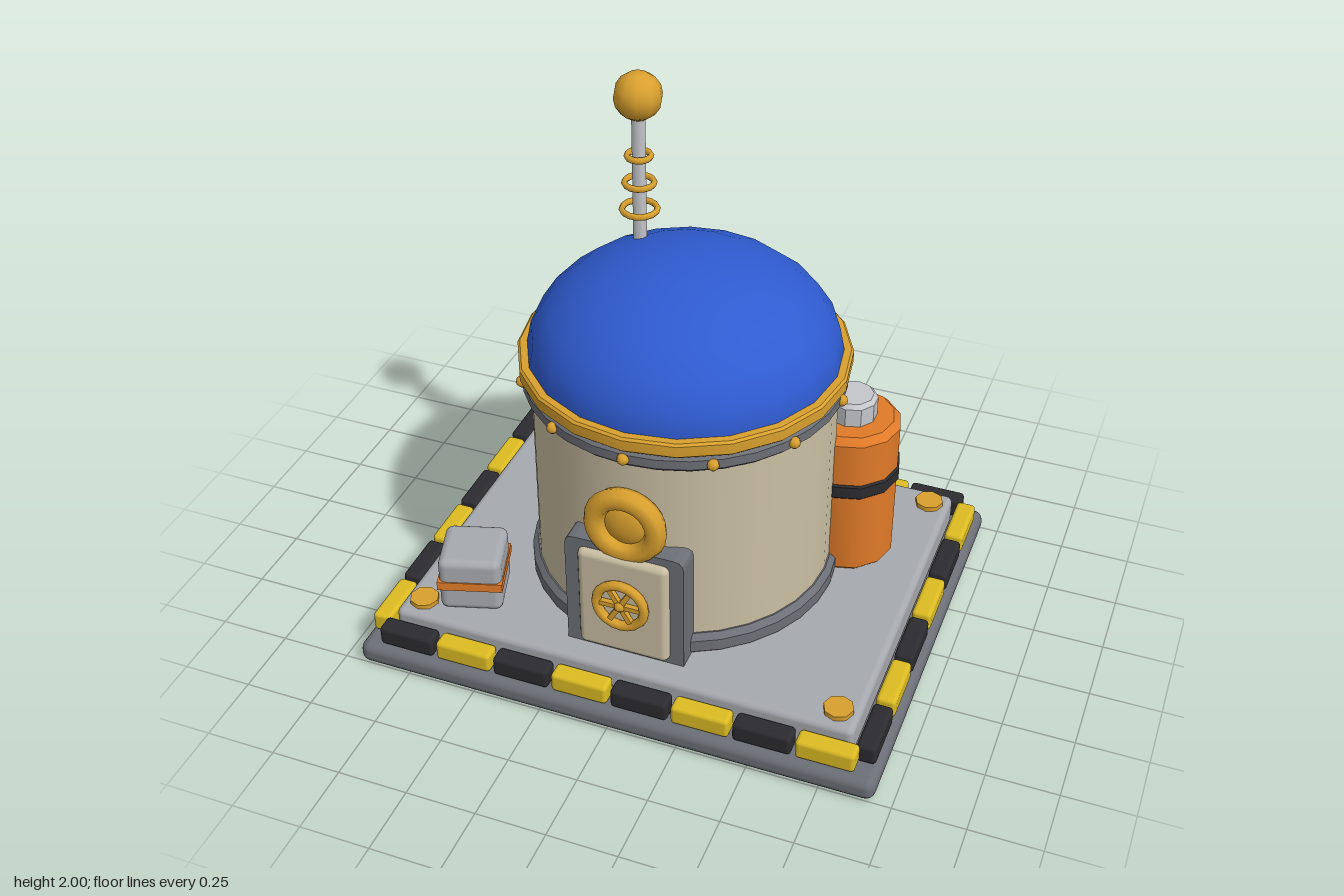
import * as THREE from 'three';
import { RoundedBoxGeometry } from 'three/addons/geometries/RoundedBoxGeometry.js';
import { toCreasedNormals } from 'three/addons/utils/BufferGeometryUtils.js';

const mat = (color) => new THREE.MeshStandardMaterial({ color });
const M = {
  steel: mat(0x6c6f76), plate: mat(0xa6a9ae), silver: mat(0xc4c6ca), cream: mat(0xcabfa3),
  gold: mat(0xd9a02e), blue: mat(0x2f5bd0), orange: mat(0xe07a28), yellow: mat(0xdcbc22), black: mat(0x2c2c30),
};

export function createModel() {
  const model = new THREE.Group();

  const add = (name, geometry, material, x = 0, y = 0, z = 0, parent = model) => {
    const mesh = new THREE.Mesh(geometry, material);
    mesh.name = name;
    mesh.position.set(x, y, z);
    parent.add(mesh);
    return mesh;
  };
  const group = (name, x, y, z) => {
    const g = new THREE.Group();
    g.name = name;
    g.position.set(x, y, z);
    model.add(g);
    return g;
  };
  const box = (w, h, d, r) => new RoundedBoxGeometry(w, h, d, 2, r);
  // Drum with softened rims, standing from y0 to y1
  const drum = (r, y0, y1, bevel, sides) => {
    const pts = [[0, y0], [r - bevel, y0], [r, y0 + bevel], [r, y1 - bevel], [r - bevel, y1], [0, y1]];
    const g = new THREE.LatheGeometry(pts.map(([a, b]) => new THREE.Vector2(a, b)), sides);
    return toCreasedNormals(g, 0.6);
  };

  // Platform
  add('basePlate', box(1.88, 0.085, 1.52, 0.035), M.steel, 0, 0.0425, 0);
  add('deck', box(1.67, 0.125, 1.32, 0.025), M.plate, 0, 0.135, 0);
  for (const x of [-0.76, 0.76]) for (const z of [-0.58, 0.58]) {
    add('cornerBolt', new THREE.CylinderGeometry(0.052, 0.052, 0.04, 8), M.gold, x, 0.195, z);
  }

  // Striped hazard border, colours alternating around the deck
  const border = group('hazardBorder', 0, 0.127, 0);
  const stripe = [M.black, M.yellow];
  for (let i = 0; i < 8; i++) {
    const x = (i - 3.5) * 0.2175;
    add('hazardBlock', box(0.205, 0.075, 0.07, 0.015), stripe[i % 2], x, 0, 0.7, border);
    add('hazardBlock', box(0.205, 0.075, 0.07, 0.015), stripe[(i + 1) % 2], x, 0, -0.7, border);
  }
  for (let i = 0; i < 6; i++) {
    const z = (i - 2.5) * 0.2285;
    add('hazardBlock', box(0.07, 0.075, 0.212, 0.015), stripe[i % 2], -0.885, 0, z, border);
    add('hazardBlock', box(0.07, 0.075, 0.212, 0.015), stripe[(i + 1) % 2], 0.885, 0, z, border);
  }

  // Round house
  add('body', new THREE.CylinderGeometry(0.525, 0.525, 0.84, 32), M.cream, 0, 0.6, 0);
  add('footRing', drum(0.55, 0.19, 0.275, 0.02, 32), M.steel);
  add('rimBand', drum(0.555, 0.975, 1.045, 0.018, 32), M.steel);
  for (let i = 0; i < 12; i++) {
    const a = (i * Math.PI) / 6;
    add('rivet', new THREE.SphereGeometry(0.021, 8, 6), M.gold, Math.sin(a) * 0.555, 1.01, Math.cos(a) * 0.555);
  }
  add('goldRing', drum(0.568, 1.045, 1.1, 0.008, 20), M.gold);
  const dome = add('dome', new THREE.SphereGeometry(1, 20, 6, 0, Math.PI * 2, 0, Math.PI / 2), M.blue, 0, 1.09, 0);
  dome.scale.set(0.537, 0.348, 0.537);

  // Antenna
  const antenna = group('antenna', -0.22, 0, -0.15);
  add('mast', new THREE.CylinderGeometry(0.025, 0.025, 0.6, 8), M.silver, 0, 1.58, 0, antenna);
  add('antennaBall', new THREE.SphereGeometry(0.083, 10, 8), M.gold, 0, 1.917, 0, antenna);
  [[1.5, 0.06], [1.6, 0.05], [1.7, 0.04]].forEach(([y, r]) => {
    add('antennaRing', new THREE.TorusGeometry(r, 0.011, 6, 14), M.gold, 0, y, 0, antenna).rotation.x = Math.PI / 2;
  });

  // Door with hand wheel
  const doorFrame = new THREE.Shape();
  const w = 0.212, c = 0.035;
  doorFrame.moveTo(-w, 0.19);
  doorFrame.lineTo(w, 0.19);
  doorFrame.lineTo(w, 0.65 - c);
  doorFrame.quadraticCurveTo(w, 0.65, w - c, 0.65);
  doorFrame.lineTo(c - w, 0.65);
  doorFrame.quadraticCurveTo(-w, 0.65, -w, 0.65 - c);
  add('doorFrame', new THREE.ExtrudeGeometry(doorFrame, { depth: 0.1, bevelEnabled: false, curveSegments: 3 }), M.steel, 0, 0, 0.47);
  add('doorPanel', box(0.325, 0.41, 0.07, 0.025), M.cream, 0, 0.415, 0.56);
  const wheel = group('handWheel', 0, 0.435, 0.608);
  add('wheelRim', new THREE.TorusGeometry(0.086, 0.017, 8, 20), M.gold, 0, 0, 0, wheel);
  for (let i = 0; i < 3; i++) {
    add('wheelSpoke', new THREE.BoxGeometry(0.17, 0.018, 0.018), M.gold, 0, 0, 0, wheel).rotation.z = (i * Math.PI) / 3;
  }
  add('wheelHub', new THREE.SphereGeometry(0.022, 8, 6), M.gold, 0, 0, 0, wheel);

  // Porthole above the door
  add('portholeRing', new THREE.TorusGeometry(0.108, 0.038, 8, 24), M.gold, 0, 0.735, 0.55);
  add('portholeLens', new THREE.SphereGeometry(0.09, 16, 10), M.gold, 0, 0.735, 0.53).scale.z = 0.45;

  // Fuel tank
  const tank = group('tank', 0.525, 0, -0.258);
  add('tankBody', drum(0.176, 0.19, 0.777, 0.025, 12), M.orange, 0, 0, 0, tank);
  add('tankBand', drum(0.183, 0.525, 0.59, 0.01, 12), M.black, 0, 0, 0, tank);
  add('tankCap', drum(0.088, 0.76, 0.862, 0.015, 10), M.silver, 0, 0, 0, tank);

  // Strapped crate, turned slightly
  const crate = group('crate', -0.615, 0, 0.465);
  crate.rotation.y = 0.3;
  add('crateBox', box(0.22, 0.215, 0.22, 0.028), M.plate, 0, 0.302, 0, crate);
  add('crateStrap', new THREE.BoxGeometry(0.228, 0.034, 0.228), M.orange, 0, 0.305, 0, crate);

  return model;
}
